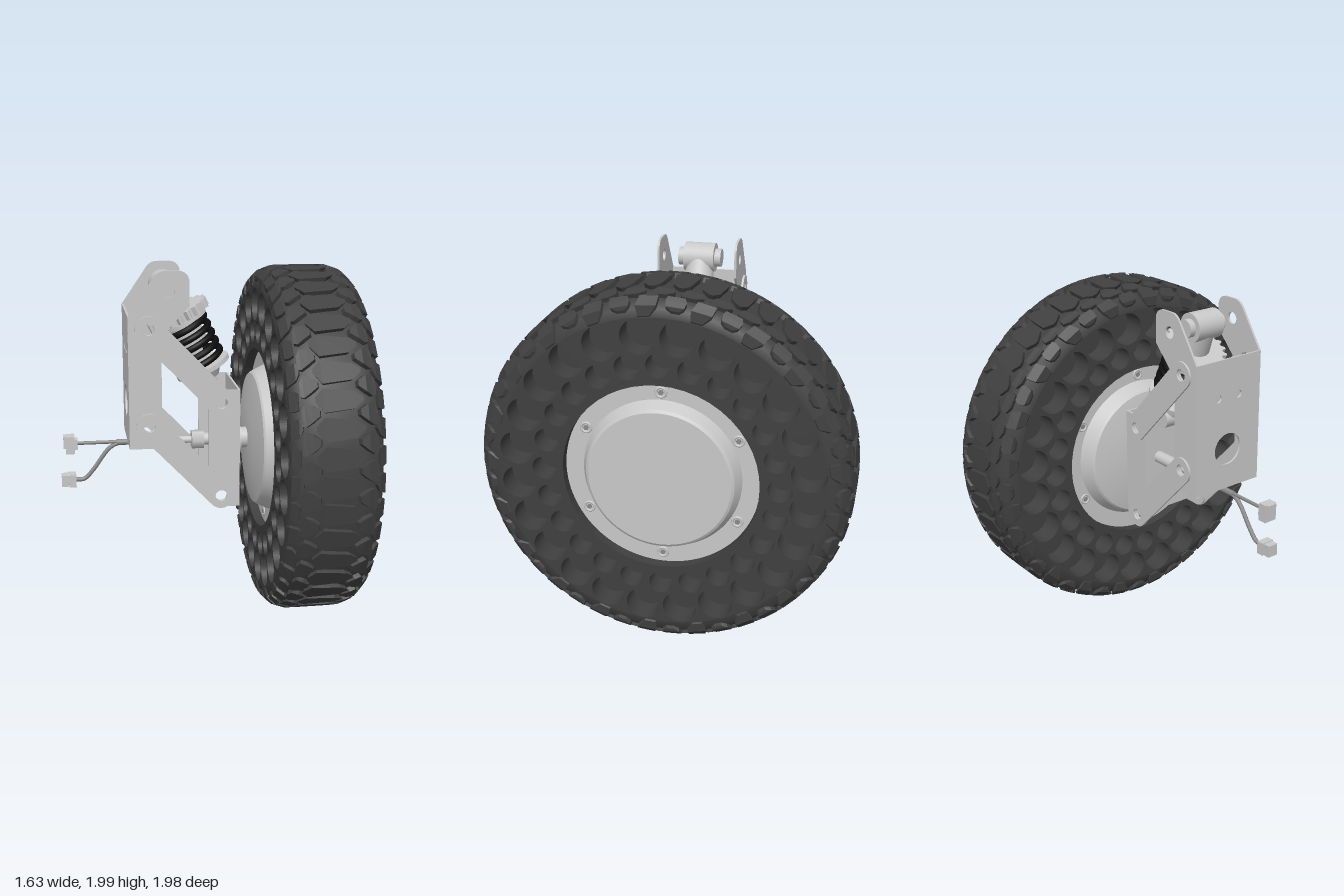
import * as THREE from 'three';
import { mergeGeometries, toCreasedNormals } from 'three/addons/utils/BufferGeometryUtils.js';

const mat = (name, color) => Object.assign(new THREE.MeshStandardMaterial({ color }), { name });
const V = (x, y, z = 0) => new THREE.Vector3(x, y, z);
const TAU = Math.PI * 2;

export function createModel() {
  const rubber = mat('tyre rubber', 0x404040);
  const metal = mat('light metal', 0xc8c8c8);
  const black = mat('spring black', 0x0c0c0c);
  const grey = mat('cable grey', 0x8a8a8a);
  const model = new THREE.Group();
  model.name = 'wheelSuspension';

  const add = (parent, name, geo, material, x = 0, y = 0, z = 0) => {
    const m = new THREE.Mesh(geo, material);
    m.name = name;
    m.position.set(x, y, z);
    parent.add(m);
    return m;
  };
  const hole = (shape, x, y, r) => shape.holes.push(new THREE.Path().absarc(x, y, r, 0, TAU, true));
  const extrude = (shape, depth, segs = 16) =>
    new THREE.ExtrudeGeometry(shape, { depth, bevelEnabled: false, curveSegments: segs });
  // lathe about the x axis, points are [radius, x]
  const latheX = (pts, segs = 96) =>
    new THREE.LatheGeometry(pts.map(p => new THREE.Vector2(p[0], p[1])), segs).rotateZ(-Math.PI / 2);

  // ---------- wheel ----------
  const wheel = new THREE.Group();
  wheel.name = 'wheel';
  wheel.position.set(0.555, 0.997, 0);
  model.add(wheel);

  // tyre carcass: [half width, radius] of the groove floor and the lug tops
  const floor = [[0, 0.967], [0.13, 0.965], [0.2, 0.945], [0.236, 0.91], [0.244, 0.865]];
  const tops = [[0, 0.992], [0.145, 0.989], [0.207, 0.968], [0.244, 0.93], [0.249, 0.872]];
  const carcass = [...floor.slice(1).reverse().map(p => [p[1], -p[0]]), ...floor.map(p => [p[1], p[0]])];
  add(wheel, 'tyreCarcass', latheX(carcass, 120), rubber);
  add(wheel, 'tyreCore', new THREE.CylinderGeometry(0.9, 0.9, 0.22, 72).rotateZ(Math.PI / 2), rubber);

  // sidewalls with two rings of round pits
  const wall = new THREE.Shape().absarc(0, 0, 0.868, 0, TAU, false);
  hole(wall, 0, 0, 0.517);
  for (let i = 0; i < 24; i++) {
    const a = (i / 24) * TAU, b = a + TAU / 48;
    hole(wall, 0.62 * Math.cos(a), 0.62 * Math.sin(a), 0.064);
    hole(wall, 0.77 * Math.cos(b), 0.77 * Math.sin(b), 0.092);
  }
  const wallGeo = extrude(wall, 0.136, 24).rotateY(Math.PI / 2);
  add(wheel, 'outerSidewall', wallGeo, rubber, 0.108);
  add(wheel, 'innerSidewall', wallGeo, rubber, -0.244);

  // tread lugs: sections of [t across the profile, start angle, end angle] in pitches
  const pitch = TAU / 42;
  const at = (list, t) => {
    const s = Math.abs(t), i = Math.min(3, Math.floor(s)), f = s - i;
    return [0, 1].map(k => (list[i][k] * (1 - f) + list[i + 1][k] * f) * (k === 0 ? Math.sign(t) : 1));
  };
  const lug = sections => {
    const pos = [];
    const rings = sections.map(([t, a0, a1]) =>
      [[floor, a0], [tops, a0], [tops, a1], [floor, a1]].map(([list, a]) => {
        const [u, r] = at(list, t);
        return [u, r * Math.cos(a * pitch), r * Math.sin(a * pitch)];
      }));
    const quad = (a, b, c, d) => pos.push(...a, ...b, ...c, ...a, ...c, ...d);
    for (let i = 0; i + 1 < rings.length; i++) {
      const A = rings[i], B = rings[i + 1];
      for (let k = 0; k < 3; k++) quad(A[k], A[k + 1], B[k + 1], B[k]);
    }
    const S = rings[0], E = rings[rings.length - 1];
    quad(S[3], S[2], S[1], S[0]);
    quad(E[0], E[1], E[2], E[3]);
    const g = new THREE.BufferGeometry();
    g.setAttribute('position', new THREE.Float32BufferAttribute(pos, 3));
    g.computeVertexNormals();
    return g;
  };
  const mirror = s => s.map(([t, a, b]) => [-t, a, b]).reverse();
  const centre = [[-0.85, 0.3, 0.45], [-0.55, 0, 0.84], [0.55, 0.12, 0.72], [0.85, 0.3, 0.45]];
  const middle = [[0.72, 0.75, 0.95], [1, 0.56, 1.16], [1.5, 0.5, 1.3], [1.8, 0.75, 1.25]];
  const shoulders = [
    [[1.72, 0.1, 0.4], [2, 0, 0.66], [3, 0.05, 0.8], [3.9, 0.3, 0.75]],
    [[1.95, 0.1, 0.7], [2.4, 0, 0.75], [3, 0.05, 0.7], [3.35, 0.2, 0.5]],
  ];
  const lugs = [];
  for (let i = 0; i < 42; i++) {
    const sh = shoulders[i % 2];
    for (const s of [centre, middle, mirror(middle), sh, mirror(sh)])
      lugs.push(lug(s.map(([t, a, b]) => [t, a + i, b + i])));
  }
  add(wheel, 'treadLugs', mergeGeometries(lugs), rubber);

  // hub motor with a raised cap on the outside and a stepped cone on the inside
  const hub = latheX([[0, -0.305], [0.2, -0.305], [0.375, -0.272], [0.385, -0.262], [0.42, -0.19],
    [0.516, -0.19], [0.516, 0.19], [0.42, 0.19], [0.39, 0.25], [0.375, 0.26], [0, 0.26]]);
  add(wheel, 'hub', toCreasedNormals(hub, 0.3), metal);
  const ringGeo = new THREE.TorusGeometry(0.026, 0.007, 8, 20).rotateY(Math.PI / 2);
  const boltGeo = new THREE.CylinderGeometry(0.014, 0.014, 0.016, 6).rotateZ(Math.PI / 2);
  for (let i = 0; i < 6; i++) {
    const a = Math.PI / 2 + (i * TAU) / 6, y = 0.46 * Math.sin(a), z = 0.46 * Math.cos(a);
    for (const s of [-1, 1]) {
      add(wheel, 'boltSeat', ringGeo, metal, s * 0.19, y, z);
      add(wheel, 'hubBolt', boltGeo, grey, s * 0.19, y, z);
    }
  }

  // ---------- axle ----------
  const rod = (name, r, x0, x1, material = metal, segs = 28) =>
    add(model, name, new THREE.CylinderGeometry(r, r, x1 - x0, segs).rotateZ(Math.PI / 2), material, (x0 + x1) / 2, 1, 0);
  rod('axle', 0.06, 0.17, 0.26);
  rod('axleCollar', 0.1, 0.175, 0.207);
  rod('axleStub', 0.035, -0.02, 0.18);
  rod('axleNut', 0.055, -0.07, 0, metal, 6);
  rod('cableSleeve', 0.02, -0.35, -0.05);
  rod('sleeveEnd', 0.026, -0.36, -0.3);

  // ---------- brackets ----------
  const T = 0.012;
  const chassis = new THREE.Shape();
  chassis.moveTo(-0.44, 1.02).lineTo(-0.26, 1.02).lineTo(-0.26, 1.65).lineTo(-0.105, 1.81);
  chassis.lineTo(-0.105, 1.93).quadraticCurveTo(-0.105, 2, -0.175, 2).lineTo(-0.24, 2);
  chassis.quadraticCurveTo(-0.28, 2, -0.31, 1.95).lineTo(-0.44, 1.76);
  hole(chassis, -0.22, 1.89, 0.033);
  hole(chassis, -0.33, 1.69, 0.033);
  hole(chassis, -0.33, 1.15, 0.033);

  const knuckle = new THREE.Shape();
  knuckle.moveTo(0.175, 0.66).lineTo(0.175, 1.34).lineTo(0.07, 1.34);
  knuckle.absarc(0.07, 1.27, 0.07, Math.PI / 2, Math.PI, false);
  knuckle.lineTo(0, 0.73).absarc(0.07, 0.73, 0.07, Math.PI, Math.PI * 1.5, false);
  hole(knuckle, 0.07, 1.27, 0.033);
  hole(knuckle, 0.07, 0.73, 0.033);

  // round-ended link between two pivots
  const link = (x0, y0, x1, y1) => {
    const a = Math.atan2(y1 - y0, x1 - x0), s = new THREE.Shape();
    s.absarc(x1, y1, 0.073, a - Math.PI / 2, a + Math.PI / 2, false);
    s.absarc(x0, y0, 0.073, a + Math.PI / 2, a + Math.PI * 1.5, false);
    hole(s, x0, y0, 0.033);
    hole(s, x1, y1, 0.033);
    return extrude(s, T);
  };
  const upper = link(-0.33, 1.69, 0.07, 1.27), lower = link(-0.33, 1.15, 0.07, 0.73);
  for (const s of [-1, 1]) {
    const inner = s * 0.217 - T / 2, outer = s * 0.232 - T / 2;
    add(model, 'chassisFlange', extrude(chassis, T), metal, 0, 0, inner);
    add(model, 'knuckleFlange', extrude(knuckle, T), metal, 0, 0, inner);
    add(model, 'upperLink', upper, metal, 0, 0, outer);
    add(model, 'lowerLink', lower, metal, 0, 0, outer);
  }
  const plate = new THREE.Shape();
  plate.moveTo(-0.222, 1.02).lineTo(0.222, 1.02).lineTo(0.222, 1.76).lineTo(-0.222, 1.76);
  hole(plate, 0, 1.25, 0.09);
  hole(plate, -0.07, 1.55, 0.022);
  hole(plate, 0.07, 1.55, 0.022);
  add(model, 'chassisPlate', extrude(plate, T).rotateY(Math.PI / 2), metal, -0.441);
  add(model, 'knucklePlate', new THREE.BoxGeometry(T, 0.68, 0.444), metal, 0.17, 1, 0);

  // ---------- coil-over shock, hanging along its own -y ----------
  const shock = new THREE.Group();
  shock.name = 'shock';
  shock.position.set(-0.22, 1.89, 0);
  shock.rotation.z = 0.438;
  model.add(shock);
  const drum = (name, r0, r1, s0, s1, material = metal) =>
    add(shock, name, new THREE.CylinderGeometry(r0, r1, s1 - s0, 32), material, 0, -(s0 + s1) / 2, 0);
  const eye = (name, r, len, s) =>
    add(shock, name, new THREE.CylinderGeometry(r, r, len, 28).rotateX(Math.PI / 2), metal, 0, -s, 0);
  eye('upperEye', 0.08, 0.17, 0);
  eye('upperBush', 0.05, 0.24, 0);
  drum('upperNeck', 0.075, 0.085, 0.02, 0.16);
  drum('damperBody', 0.095, 0.095, 0.15, 0.36);
  drum('damperRod', 0.045, 0.045, 0.3, 0.68);
  drum('springSeat', 0.15, 0.15, 0.205, 0.225);
  drum('lowerSeat', 0.16, 0.16, 0.495, 0.52);
  drum('lowerCup', 0.11, 0.07, 0.52, 0.58);
  eye('lowerEye', 0.055, 0.12, 0.67);

  // toothed adjuster collar
  const gear = new THREE.Shape();
  for (let i = 0; i < 80; i++) {
    const r = i % 4 < 2 ? 0.182 : 0.16, a = (i / 80) * TAU;
    gear[i ? 'lineTo' : 'moveTo'](r * Math.cos(a), r * Math.sin(a));
  }
  add(shock, 'adjusterCollar', extrude(gear, 0.05).rotateX(Math.PI / 2), metal, 0, -0.15, 0);

  const coil = [];
  for (let i = 0; i <= 108; i++) {
    const a = (i / 24) * TAU;
    coil.push(V(0.132 * Math.cos(a), -0.24 - (0.24 * i) / 108, 0.132 * Math.sin(a)));
  }
  add(shock, 'coilSpring', new THREE.TubeGeometry(new THREE.CatmullRomCurve3(coil), 200, 0.019, 10), black);

  // ---------- cables and plugs ----------
  const cable = (name, r, pts) =>
    add(model, name, new THREE.TubeGeometry(new THREE.CatmullRomCurve3(pts), 40, r, 10), grey);
  cable('signalCable', 0.01, [V(-0.3, 1.003), V(-0.55, 1.003), V(-0.74, 1.003)]);
  cable('powerCable', 0.012, [V(-0.3, 0.997), V(-0.48, 0.997), V(-0.54, 0.97), V(-0.64, 0.84), V(-0.69, 0.79), V(-0.75, 0.787)]);
  rod('cableSheath', 0.017, -0.5, -0.34, grey);
  const box = (name, w, h, d, x, y) => add(model, name, new THREE.BoxGeometry(w, h, d), metal, x, y, 0);
  box('signalPlug', 0.05, 0.1, 0.075, -0.765, 1);
  box('signalPlugNose', 0.03, 0.07, 0.055, -0.788, 1.015);
  box('signalPlugTail', 0.02, 0.06, 0.05, -0.733, 1);
  box('powerPlug', 0.042, 0.072, 0.075, -0.758, 0.787);
  box('powerPlugNose', 0.04, 0.066, 0.06, -0.8, 0.787);
  return model;
}
